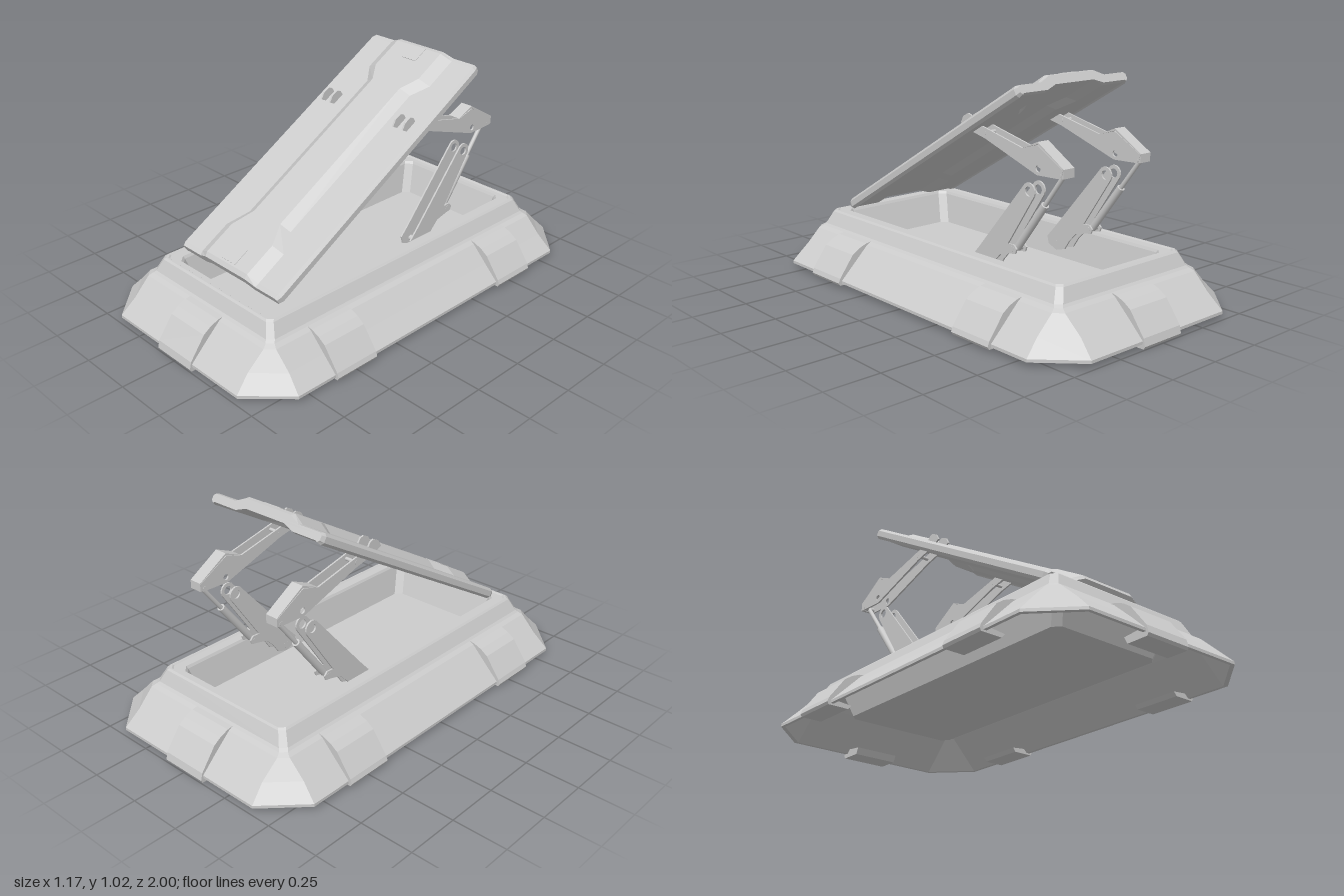
import * as THREE from 'three';

const mat = new THREE.MeshStandardMaterial({ color: 0xcccccc, flatShading: true });
const smoothMat = new THREE.MeshStandardMaterial({ color: 0xcccccc });

function add(parent, name, geo, x = 0, y = 0, z = 0, m = mat) {
  const mesh = new THREE.Mesh(geo, m);
  mesh.name = name;
  mesh.position.set(x, y, z);
  parent.add(mesh);
  return mesh;
}

// Joins equal-count 2D rings into a closed solid; place(p, level) gives the 3D point.
function loft(rings, place) {
  const pos = [], n = rings[0].pts.length;
  const pts = rings.map(r => r.pts.map(p => place(p, r.level)));
  const tri = (a, b, c) => pos.push(...a, ...b, ...c);
  for (let i = 0; i + 1 < pts.length; i++)
    for (let j = 0; j < n; j++) {
      const k = (j + 1) % n;
      tri(pts[i][j], pts[i + 1][k], pts[i][k]);
      tri(pts[i][j], pts[i + 1][j], pts[i + 1][k]);
    }
  const cap = (i, flip) => {
    const flat = rings[i].pts.map(p => new THREE.Vector2(p[0], p[1]));
    for (const [a, b, c] of THREE.ShapeUtils.triangulateShape(flat, []))
      flip ? tri(pts[i][a], pts[i][c], pts[i][b]) : tri(pts[i][a], pts[i][b], pts[i][c]);
  };
  cap(0, false);
  cap(rings.length - 1, true);
  const g = new THREE.BufferGeometry();
  g.setAttribute('position', new THREE.Float32BufferAttribute(pos, 3));
  g.computeVertexNormals();
  return g;
}

// Rectangle with cut corners
const octagon = (w, d, c) => [[w, -d + c], [w, d - c], [w - c, d], [-w + c, d],
  [-w, d - c], [-w, -d + c], [-w + c, -d], [w - c, -d]];

function plate(points, depth, holes = []) {
  const s = new THREE.Shape(points.map(p => new THREE.Vector2(...p)));
  for (const [x, y, r] of holes) s.holes.push(new THREE.Path().absarc(x, y, r, 0, Math.PI * 2, true));
  return new THREE.ExtrudeGeometry(s, { depth, bevelEnabled: false, curveSegments: 10 });
}

function makeBase() {
  const base = new THREE.Group();
  base.name = 'base';
  // tub underside, tub wall, inside of skirt, outside of skirt, rim, down to the floor: half width, half depth, corner cut, y
  const rings = [
    [0.28, 0.70, 0.03, 0.095], [0.315, 0.752, 0.03, 0.22], [0.375, 0.79, 0.025, 0.20],
    [0.41, 0.828, 0.03, 0.16], [0.553, 0.973, 0.166, 0.02], [0.568, 0.988, 0.17, 0.02],
    [0.568, 0.988, 0.17, 0.033], [0.50, 0.92, 0.115, 0.1], [0.425, 0.84, 0.035, 0.175],
    [0.405, 0.82, 0.025, 0.187], [0.395, 0.81, 0.025, 0.197], [0.365, 0.785, 0.022, 0.254],
    [0.357, 0.777, 0.022, 0.262], [0.35, 0.77, 0.022, 0.262], [0.345, 0.765, 0.022, 0.257],
    [0.302, 0.742, 0.03, 0.257], [0.296, 0.736, 0.03, 0.245], [0.27, 0.69, 0.03, 0.105]];
  add(base, 'hollowHull', loft(rings.map(([w, d, c, y]) => ({ pts: octagon(w, d, c), level: y })),
    (p, y) => [p[0], y, p[1]]));

  // Clamp pads gripping the skirt
  const pad = (name, width, shift, bottom, angle, along) => {
    const pts = [[0.39, 0.19], [0.415, 0.17], [0.49, 0.095], [0.545, 0.038], [0.465, 0.03], [0.48, bottom],
      [0.578, bottom], [0.585, bottom + 0.012], [0.577, 0.045], [0.505, 0.143], [0.47, 0.167], [0.43, 0.183]];
    const g = plate(pts.map(([x, y]) => [x + shift, y]), width);
    g.translate(0, 0, along - width / 2);
    add(base, name, g).rotation.y = angle;
  };
  for (const a of [0, Math.PI])
    for (const z of [-0.51, 0.51]) pad('sideClamp', 0.22, 0, 0.012, a, z);
  for (const a of [-Math.PI / 2, Math.PI / 2]) pad('endClamp', 0.22, 0.415, 0, a, 0);
  return base;
}

function makeLid() {
  const lid = new THREE.Group();
  lid.name = 'lid';
  lid.position.set(0, 0.268, 0.68);
  lid.rotation.x = Math.PI / 6;
  // Panel with a raised spine that narrows in the middle: distance, spine top, spine foot, end squeeze
  const stations = [[0, 0.133, 0.187, 0.8], [0.02, 0.133, 0.187, 1], [0.18, 0.133, 0.187, 1],
    [0.28, 0.085, 0.133, 1], [1.11, 0.085, 0.133, 1], [1.19, 0.133, 0.187, 1],
    [1.355, 0.133, 0.187, 1], [1.375, 0.133, 0.187, 0.8]];
  const rings = stations.map(([u, i, o, s]) => {
    const half = [[i - 0.02, 0.03], [o - 0.02, 0.006], [0.30, 0.006], [0.308, 0], [0.32, 0.012],
      [0.32, 0.038], [0.308, 0.05], [o, 0.05], [i, 0.08]]
      .map(([x, h]) => [x * (s < 1 ? 0.975 : 1), 0.03 + (h - 0.03) * s]);
    return { pts: [...half, ...half.map(([x, h]) => [-x, h]).reverse()], level: u };
  });
  add(lid, 'lidPanel', loft(rings, (p, u) => [p[0], p[1], -u]));
  // Latch tabs at both ends of the spine
  for (const u of [0.07, 1.315]) add(lid, 'latchTab', new THREE.BoxGeometry(0.09, 0.004, 0.08), 0, 0.08, -u);
  return lid;
}

function makeLinkage(side) {
  const link = new THREE.Group();
  link.name = side > 0 ? 'leftLinkage' : 'rightLinkage';
  link.position.x = side * 0.226;
  // Outlines run backwards along their first axis
  const turned = (name, g, x) => { add(link, name, g, x).rotation.y = Math.PI / 2; };
  const upper = [[0.078, 0.79], [0.13, 0.765], [0.233, 0.742], [0.544, 0.638], [0.678, 0.643],
    [0.689, 0.681], [0.544, 0.76], [0.458, 0.735], [0.25, 0.783], [0.16, 0.805], [0.145, 0.828],
    [0.125, 0.835], [0.095, 0.82]];
  const tip = [];
  for (let i = 0; i <= 8; i++) {
    const a = -0.5 + i / 8 * Math.PI;
    tip.push([0.496 + 0.036 * Math.cos(a), 0.563 + 0.036 * Math.sin(a)]);
  }
  const lower = [[0.15, 0.22], [0.16, 0.185], [0.21, 0.165], [0.26, 0.18], [0.29, 0.225], [0.33, 0.265],
    [0.39, 0.28], [0.42, 0.285], [0.427, 0.305], [0.41, 0.322], [0.375, 0.32], ...tip, [0.19, 0.263]];
  for (const x of [-0.032, 0.024]) {
    turned('upperArmPlate', plate(upper, 0.008, [[0.55, 0.665, 0.014], [0.233, 0.766, 0.008]]), x);
    turned('lowerArmPlate', plate(lower, 0.008, [[0.496, 0.563, 0.02], [0.40, 0.302, 0.008]]), x);
  }
  // Folded cap over the elbow
  turned('elbowCap', plate([[0.458, 0.735], [0.544, 0.762], [0.676, 0.683], [0.678, 0.645],
    [0.69, 0.645], [0.69, 0.683], [0.544, 0.772]], 0.06), -0.03);
  // Sliding strut
  const rod = (name, a, b, r) => {
    const d = new THREE.Vector3().subVectors(b, a);
    const m = add(link, name, new THREE.CylinderGeometry(r, r, d.length(), 14), 0, 0, 0, smoothMat);
    m.position.copy(a).addScaledVector(d, 0.5);
    m.quaternion.setFromUnitVectors(new THREE.Vector3(0, 1, 0), d.normalize());
  };
  const foot = new THREE.Vector3(0, 0.302, -0.40), head = new THREE.Vector3(0, 0.655, -0.668);
  rod('strutSleeve', foot, foot.clone().lerp(head, 0.6), 0.017);
  rod('strutRod', foot, head, 0.01);
  // Pivot pins
  for (const [z, y, r] of [[-0.40, 0.302, 0.012], [-0.668, 0.655, 0.01], [-0.233, 0.766, 0.008], [-0.21, 0.195, 0.014]])
    add(link, 'pivotPin', new THREE.CylinderGeometry(r, r, 0.066, 12), 0, y, z, smoothMat).rotation.z = Math.PI / 2;
  return link;
}

export function createModel() {
  const model = new THREE.Group();
  model.name = 'openHatch';
  model.add(makeBase(), makeLid(), makeLinkage(1), makeLinkage(-1));
  return model;
}
